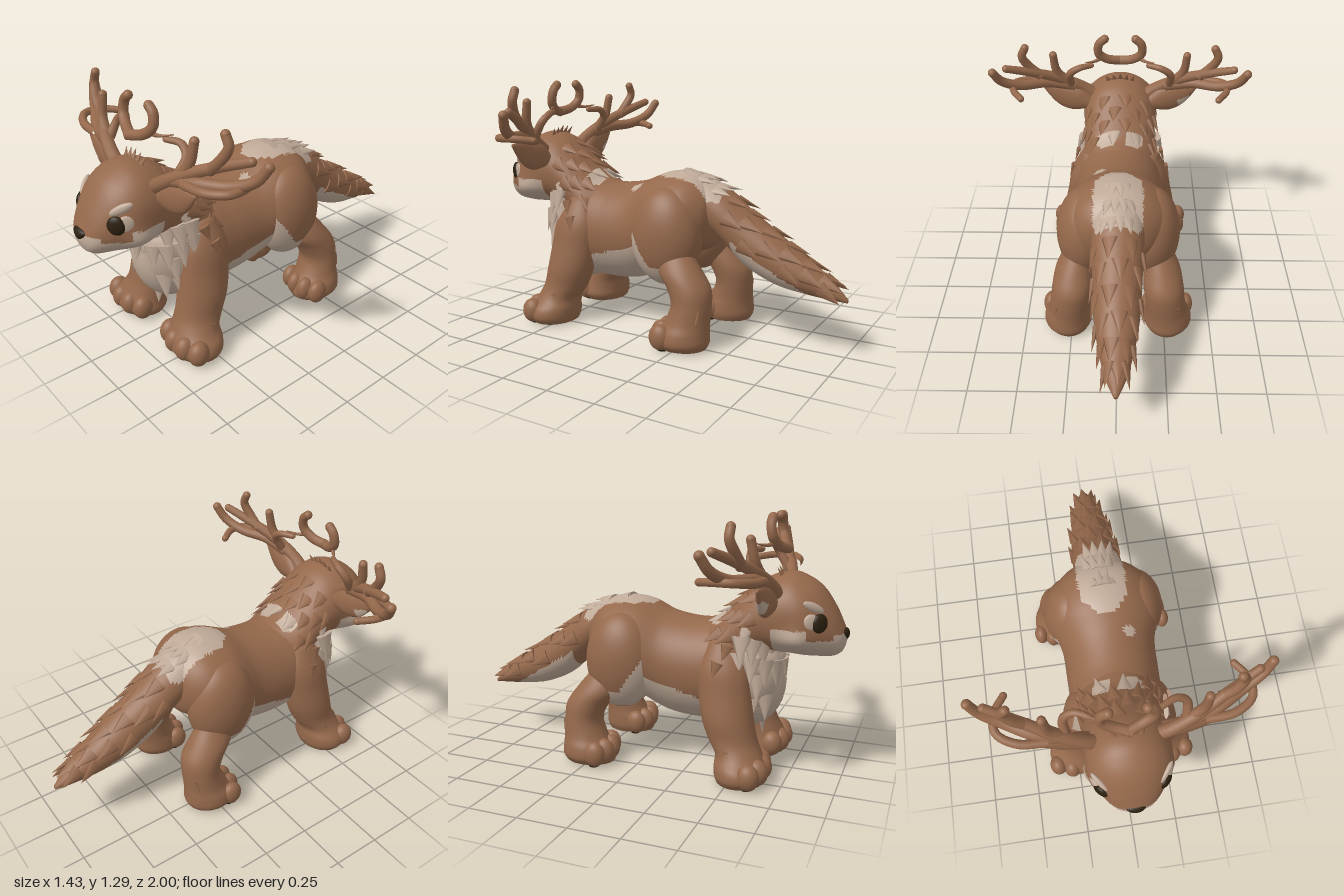
import * as THREE from 'three';
import { mergeGeometries } from 'three/addons/utils/BufferGeometryUtils.js';

const V = (x, y, z) => new THREE.Vector3(x, y, z);
const material = (name, color) => Object.assign(new THREE.MeshStandardMaterial({ color }), { name });

export function createModel() {
  const model = new THREE.Group();
  model.name = 'antleredFox';
  const fur = material('brownFur', 0x94684b);
  const cream = material('creamFur', 0xc0aa98);
  const dark = material('darkEyesAndNose', 0x2c2110);
  const pad = material('blackPads', 0x19130a);

  const add = (name, geometry, mat) => {
    const mesh = new THREE.Mesh(geometry, mat);
    mesh.name = name;
    model.add(mesh);
    return mesh;
  };
  const ball = (name, mat, p, r) => {
    const mesh = add(name, new THREE.SphereGeometry(1, 24, 16), mat);
    mesh.position.set(...p);
    mesh.scale.set(...r);
    return mesh;
  };

  // Skin over elliptical sections [cx, cy, cz, r1, r2], stacked upwards along y or z.
  // paint(x, y, z) is true where a face is cream; shape(point) adjusts the surface.
  function loft(name, axis, sections, paint = () => false, rings = 60, segs = 48, shape = () => {}) {
    const mid = new THREE.CatmullRomCurve3(sections.map(s => V(s[0], s[1], s[2])), false, 'catmullrom', 0.5);
    const rad = new THREE.CatmullRomCurve3(sections.map(s => V(s[3], s[4], 0)), false, 'catmullrom', 0.5);
    const surface = (t, a) => {
      const c = mid.getPoint(t), r = rad.getPoint(t);
      const u = Math.max(r.x, 0.002) * Math.cos(a), v = Math.max(r.y, 0.002) * Math.sin(a);
      const out = axis === 'z' ? V(u, v, 0) : V(u, 0, -v);
      const point = c.clone().add(out);
      shape(point);
      return { point, normal: out.normalize() };
    };
    const pts = [];
    for (let i = 0; i <= rings; i++)
      for (let j = 0; j < segs; j++) pts.push(surface(i / rings, j / segs * Math.PI * 2).point);
    pts.push(mid.getPoint(0), mid.getPoint(1));
    const faces = [[], []];
    const tri = (a, b, c) => {
      const m = pts[a].clone().add(pts[b]).add(pts[c]).divideScalar(3);
      faces[paint(m.x, m.y, m.z) ? 1 : 0].push(a, b, c);
    };
    const end = (rings + 1) * segs;
    for (let j = 0; j < segs; j++) {
      const k = (j + 1) % segs;
      for (let i = 0; i < rings; i++) {
        const p = i * segs, q = p + segs;
        tri(p + j, p + k, q + j);
        tri(p + k, q + k, q + j);
      }
      tri(end, k, j);
      tri(end + 1, rings * segs + j, rings * segs + k);
    }
    const g = new THREE.BufferGeometry().setFromPoints(pts);
    g.setIndex([...faces[0], ...faces[1]]);
    g.addGroup(0, faces[0].length, 0);
    g.addGroup(faces[0].length, faces[1].length, 1);
    g.computeVertexNormals();
    return { mesh: add(name, g, [fur, cream]), surface };
  }

  // Flattened pointed locks of fur, merged into one mesh per bunch
  const lock = (p, normal, dir, len, r) => {
    const y = dir.clone().normalize();
    const x = y.clone().cross(normal).normalize();
    const g = new THREE.ConeGeometry(r, len, 8, 1);
    g.scale(1, 1, 0.4);
    g.translate(0, len * 0.3, 0);
    g.applyMatrix4(new THREE.Matrix4().makeBasis(x, y, x.clone().cross(y)).setPosition(p));
    return g;
  };
  const bunch = (name, mat, locks) => add(name, mergeGeometries(locks), mat);

  // Tapered round-ended horn
  function horn(name, points, r, s = 1, taper = 0.35) {
    const curve = new THREE.CatmullRomCurve3(points.map(p => V(p[0] * s, p[1], p[2])));
    const n = 24, sides = 10, g = new THREE.TubeGeometry(curve, n, r, sides);
    const pos = g.attributes.position, v = V(0, 0, 0);
    for (let i = 0; i < pos.count; i++) {
      const u = Math.floor(i / (sides + 1)) / n;
      v.fromBufferAttribute(pos, i).lerp(curve.getPointAt(u), taper * u);
      pos.setXYZ(i, v.x, v.y, v.z);
    }
    add(name, g, fur);
    const e = r * (1 - taper);
    ball(name + 'Tip', fur, curve.getPoint(1).toArray(), [e, e, e]);
  }

  // Body, with pale belly, chest and rump and a small spot on the back
  const rump = (x, y, z) => y > 0.71 && z > -0.37 && z < 0.01 && Math.abs(x) < 0.125 - Math.max(0, z + 0.08) * 0.9;
  const spot = (x, y, z) => y > 0.6 && Math.hypot(x - 0.105, z - 0.105) < 0.03;
  loft('body', 'z', [
    [0, 0.62, -0.34, 0.06, 0.07], [0, 0.62, -0.3, 0.18, 0.155], [0, 0.625, -0.2, 0.26, 0.21],
    [0, 0.583, -0.05, 0.285, 0.25], [0, 0.513, 0.1, 0.25, 0.262], [0, 0.49, 0.25, 0.245, 0.262],
    [0, 0.495, 0.38, 0.24, 0.262], [0, 0.49, 0.5, 0.22, 0.25], [0, 0.485, 0.6, 0.18, 0.215],
    [0, 0.5, 0.67, 0.12, 0.14], [0, 0.5, 0.695, 0.03, 0.04],
  ], (x, y, z) => z > 0.5 || (z > -0.1 && y < 0.465 - 0.3 * (z - 0.05)) || rump(x, y, z) || spot(x, y, z), 100, 72);

  // Head and neck with full cheeks, pale muzzle and patches on the nape
  const napePatch = (x, z) => z > 0.345 && z < 0.42 && Math.abs(x) > 0.03 && Math.abs(x) < 0.13;
  const head = loft('head', 'z', [
    [0, 0.62, 0.3, 0.15, 0.13], [0, 0.615, 0.38, 0.2, 0.167], [0, 0.68, 0.46, 0.2, 0.168],
    [0, 0.74, 0.53, 0.2, 0.178], [0, 0.795, 0.62, 0.205, 0.19], [0, 0.81, 0.72, 0.21, 0.2],
    [0, 0.795, 0.8, 0.203, 0.19], [0, 0.77, 0.87, 0.168, 0.165], [0, 0.73, 0.93, 0.126, 0.12],
    [0, 0.705, 0.965, 0.09, 0.075], [0, 0.7, 0.98, 0.058, 0.045], [0, 0.7, 0.988, 0.02, 0.015],
  ], (x, y, z) => (z > 0.66 && y < (z > 0.94 ? 0.73 : z > 0.83 ? 0.705 : 0.755)) || (y > 0.74 && napePatch(x, z)), 100, 72,
  p => { p.x *= 1 + 0.27 * Math.exp(-(((p.y - 0.675) / 0.07) ** 2) - ((p.z - 0.77) / 0.1) ** 2); });

  // Tail, pale underneath and at the root
  const tail = loft('tail', 'z', [
    [0, 0.28, -1, 0.01, 0.01], [0, 0.32, -0.92, 0.05, 0.043], [0, 0.37, -0.8, 0.085, 0.083],
    [0, 0.435, -0.65, 0.112, 0.122], [0, 0.52, -0.5, 0.122, 0.14], [0, 0.62, -0.38, 0.13, 0.135],
    [0, 0.7, -0.25, 0.13, 0.12], [0, 0.74, -0.1, 0.11, 0.1], [0, 0.735, 0, 0.05, 0.06],
  ], (x, y, z) => (z < -0.43 && z > -0.83 && y < 0.49 + (z + 0.5) * 0.6) || rump(x, y, z));
  const tailLocks = [], rumpLocks = [];
  for (let i = 0; i < 9; i++)
    for (let j = 0; j < 4; j++) {
      const pale = i > 5;
      const a = pale ? Math.PI * (0.33 + 0.1 * (j + (i % 2) * 0.4)) : Math.PI * (-0.02 + 0.28 * (j + (i % 2) * 0.5));
      const { point, normal } = tail.surface((1.2 + i * 0.68) / 8, a);
      const dir = V(0, -0.55, -1).normalize().addScaledVector(normal, pale ? 0.38 : 0.17);
      (pale ? rumpLocks : tailLocks).push(lock(point, normal, dir, pale ? 0.1 : 0.12, pale ? 0.034 : 0.042));
    }
  bunch('tailFur', fur, tailLocks);
  bunch('rumpFur', cream, rumpLocks);

  // Nape and crown fur
  const nape = [], paleNape = [];
  for (let i = 0; i < 4; i++)
    for (let j = 0; j < 5; j++) {
      const { point, normal } = head.surface((1.25 + i * 0.7) / 11, Math.PI * (0.1 + 0.2 * (j + (i % 2) * 0.5 - 0.25)));
      (napePatch(point.x, point.z) ? paleNape : nape)
        .push(lock(point, normal, V(0, -0.65, -1).normalize().addScaledVector(normal, 0.3), 0.1, 0.042));
    }
  for (let j = -2; j <= 2; j++)
    nape.push(lock(V(j * 0.03, 1.0 - Math.abs(j) * 0.006, 0.68), V(0, 0, 1), V(j * 0.25, 1, -0.5), 0.065, 0.024));
  bunch('napeFur', fur, nape);
  bunch('paleNapeFur', cream, paleNape);

  // Smooth pale chest with a shaggy ruff around it
  ball('chest', cream, [0, 0.45, 0.49], [0.185, 0.25, 0.215]);
  ball('ruff', cream, [0, 0.55, 0.52], [0.205, 0.14, 0.18]);
  const ruff = [];
  for (let i = 0; i < 4; i++) {
    const y = 0.64 - i * 0.09, w = [0.225, 0.22, 0.195, 0.17][i], d = [0.14, 0.18, 0.19, 0.18][i];
    for (let j = 0; j <= 8; j++) {
      const a = (j - 4) * 0.37 + (i % 2 ? 0.12 : 0) * Math.sign(j - 4);
      if (i > 1 && Math.abs(a) < 0.8) continue;
      const n = V(Math.sin(a), 0, Math.cos(a));
      ruff.push(lock(V(w * n.x, y + 0.05 * (1 - n.z), 0.515 + d * n.z), n, V(n.x * 0.3, -1, n.z * 0.08), 0.13, 0.05));
    }
  }
  ruff.push(lock(V(0, 0.24, 0.59), V(0, 0, 1), V(0, -1, 0.05), 0.1, 0.045));
  for (const s of [1, -1])
    for (const [x, y, z] of [[0.195, 0.73, 0.54], [0.2, 0.68, 0.57], [0.205, 0.64, 0.53]])
      ruff.push(lock(V(x * s, y, z), V(s, 0, 0), V(0.4 * s, -1, -0.3), 0.1, 0.036));
  bunch('ruffFur', cream, ruff);

  // Nose: a ball narrowed towards the bottom
  const noseShape = new THREE.SphereGeometry(1, 20, 14);
  const np = noseShape.attributes.position;
  for (let i = 0; i < np.count; i++) np.setX(i, np.getX(i) * (0.7 + 0.45 * np.getY(i)));
  noseShape.computeVertexNormals();
  const nose = add('nose', noseShape, dark);
  nose.position.set(0, 0.72, 0.975);
  nose.scale.set(0.06, 0.03, 0.025);

  for (const s of [1, -1]) {
    const side = s > 0 ? 'left' : 'right';

    // Eyes and brows
    ball(side + 'EyeRim', cream, [0.177 * s, 0.792, 0.843], [0.04, 0.043, 0.014]).rotation.y = s * 1.05;
    ball(side + 'Eye', dark, [0.153 * s, 0.788, 0.879], [0.043, 0.048, 0.022]).rotation.y = s * 0.8;
    const brow = ball(side + 'Brow', cream, [0.157 * s, 0.862, 0.85], [0.06, 0.022, 0.015]);
    brow.rotation.set(0, s * 0.9, s * 0.45, 'YXZ');

    // Ears
    const ear = loft(side + 'Ear', 'y', [
      [0, 0, 0, 0.04, 0.04], [0.006 * s, 0.08, 0, 0.075, 0.04], [0.012 * s, 0.16, 0, 0.068, 0.03],
      [0.006 * s, 0.23, 0, 0.04, 0.018], [0, 0.285, 0, 0.006, 0.006],
    ], (x, y) => s < 0 && x * s > 0.03 && y > 0.155 && y < 0.23, 40, 36).mesh;
    ear.position.set(0.17 * s, 0.87, 0.65);
    ear.rotation.z = -s * 1.22;

    // Antlers
    horn(side + 'AntlerBeam', [[0.11, 0.88, 0.67], [0.2, 0.945, 0.67], [0.34, 1.03, 0.63], [0.49, 1.1, 0.56], [0.62, 1.15, 0.5]], 0.038, s, 0.45);
    horn(side + 'AntlerLowerBeam', [[0.26, 0.98, 0.65], [0.41, 1.01, 0.62], [0.55, 1.025, 0.55], [0.65, 1.075, 0.5], [0.69, 1.14, 0.47]], 0.034, s, 0.3);
    horn(side + 'AntlerOuterTine', [[0.44, 1.07, 0.58], [0.5, 1.13, 0.57], [0.535, 1.2, 0.55], [0.515, 1.25, 0.55]], 0.027, s, 0.2);
    horn(side + 'AntlerMiddleTine', [[0.29, 1.0, 0.64], [0.355, 1.08, 0.62], [0.37, 1.185, 0.6]], 0.027, s, 0.2);
    horn(side + 'AntlerBackTine', [[0.36, 1.0, 0.66], [0.5, 1.01, 0.65], [0.59, 1.02, 0.59], [0.59, 1.02, 0.5], [0.54, 1.01, 0.42]], 0.023, s, 0.2);
    horn(side + 'AntlerInnerTine', [[0.28, 1.0, 0.63], [0.28, 1.08, 0.58], [0.23, 1.12, 0.57], [0.16, 1.125, 0.6]], 0.025, s, 0.4);
    horn(side + 'CrownHorn', [[-0.015, 1.115, 0.69], [0.07, 1.135, 0.66], [0.12, 1.18, 0.64], [0.115, 1.24, 0.63], [0.085, 1.268, 0.63]], 0.026, s, 0.1);
    horn(side + 'CrownSpur', [[0.1, 1.15, 0.65], [0.14, 1.14, 0.62], [0.19, 1.15, 0.58]], 0.013, s, 0.8);

    // Legs
    loft(side + 'FrontLeg', 'y', [
      [0.245 * s, 0.006, 0.545, 0.14, 0.115], [0.245 * s, 0.04, 0.55, 0.16, 0.13], [0.243 * s, 0.085, 0.545, 0.152, 0.127],
      [0.225 * s, 0.135, 0.53, 0.128, 0.115], [0.212 * s, 0.2, 0.495, 0.115, 0.122], [0.207 * s, 0.3, 0.465, 0.115, 0.13],
      [0.2 * s, 0.42, 0.445, 0.1, 0.13], [0.19 * s, 0.55, 0.43, 0.085, 0.12], [0.165 * s, 0.68, 0.42, 0.045, 0.06],
    ], undefined, 40, 32);
    loft(side + 'HindLeg', 'y', [
      [0.265 * s, 0.006, -0.255, 0.11, 0.13], [0.27 * s, 0.04, -0.26, 0.128, 0.14], [0.268 * s, 0.09, -0.268, 0.125, 0.13],
      [0.26 * s, 0.14, -0.285, 0.112, 0.112], [0.25 * s, 0.22, -0.3, 0.105, 0.1], [0.24 * s, 0.3, -0.28, 0.105, 0.112],
      [0.23 * s, 0.38, -0.225, 0.095, 0.115], [0.21 * s, 0.48, -0.18, 0.06, 0.08],
    ], undefined, 40, 32);
    const thigh = [];
    for (let i = 0; i <= 14; i++) {
      const a = 0.05 + i / 14 * (Math.PI - 0.1);
      thigh.push([0.175 * s, 0.53 - 0.25 * Math.cos(a), -0.115, 0.148 * Math.sin(a), 0.19 * Math.sin(a)]);
    }
    loft(side + 'Thigh', 'y', thigh, (x, y, z) =>
      Math.abs(x) > 0.19 && z > -0.195 && z < 0.04 && y > 0.295 && y < 0.39 + Math.max(0, z + 0.08) * 1.5, 70, 72);

    // Toes and sole pads
    for (const [name, cx, cz, w] of [['Front', 0.245, 0.545, 1], ['Hind', 0.268, -0.255, 0.85]]) {
      const sole = add(side + name + 'Sole', new THREE.CylinderGeometry(1, 1, 1, 24), pad);
      sole.position.set(cx * s, 0.004, cz);
      sole.scale.set(0.105 * w, 0.008, 0.09);
      [-0.119, -0.042, 0.042, 0.119].forEach((dx, i) => {
        const x = (cx + dx * w) * s, z = cz + (i % 3 ? 0.092 : 0.068);
        ball(side + name + 'Toe', fur, [x, 0.068, z], [0.048 * w, 0.065, 0.056]);
        const toePad = add(side + name + 'ToePad', new THREE.CylinderGeometry(0.025, 0.025, 0.008, 16), pad);
        toePad.position.set((cx + dx * w * 0.85) * s, 0.004, z - 0.01);
      });
    }

    // Loose fur on shoulders and heels
    const tufts = [[0.27, 0.57, 0.42], [0.24, 0.65, 0.46], [0.3, 0.27, 0.46], [0.33, 0.15, 0.5]]
      .map(([x, y, z]) => lock(V(x * s, y, z), V(s, 0, 0), V(0.3 * s, -1, -0.25), 0.08, 0.032));
    for (const [x, y, z] of [[0.34, 0.2, -0.31], [0.35, 0.13, -0.27], [0.32, 0.2, -0.36]])
      tufts.push(lock(V(x * s, y, z), V(s, 0, 0), V(0.35 * s, -1, -0.2), 0.07, 0.03));
    bunch(side + 'LooseFur', fur, tufts);
  }
  return model;
}
